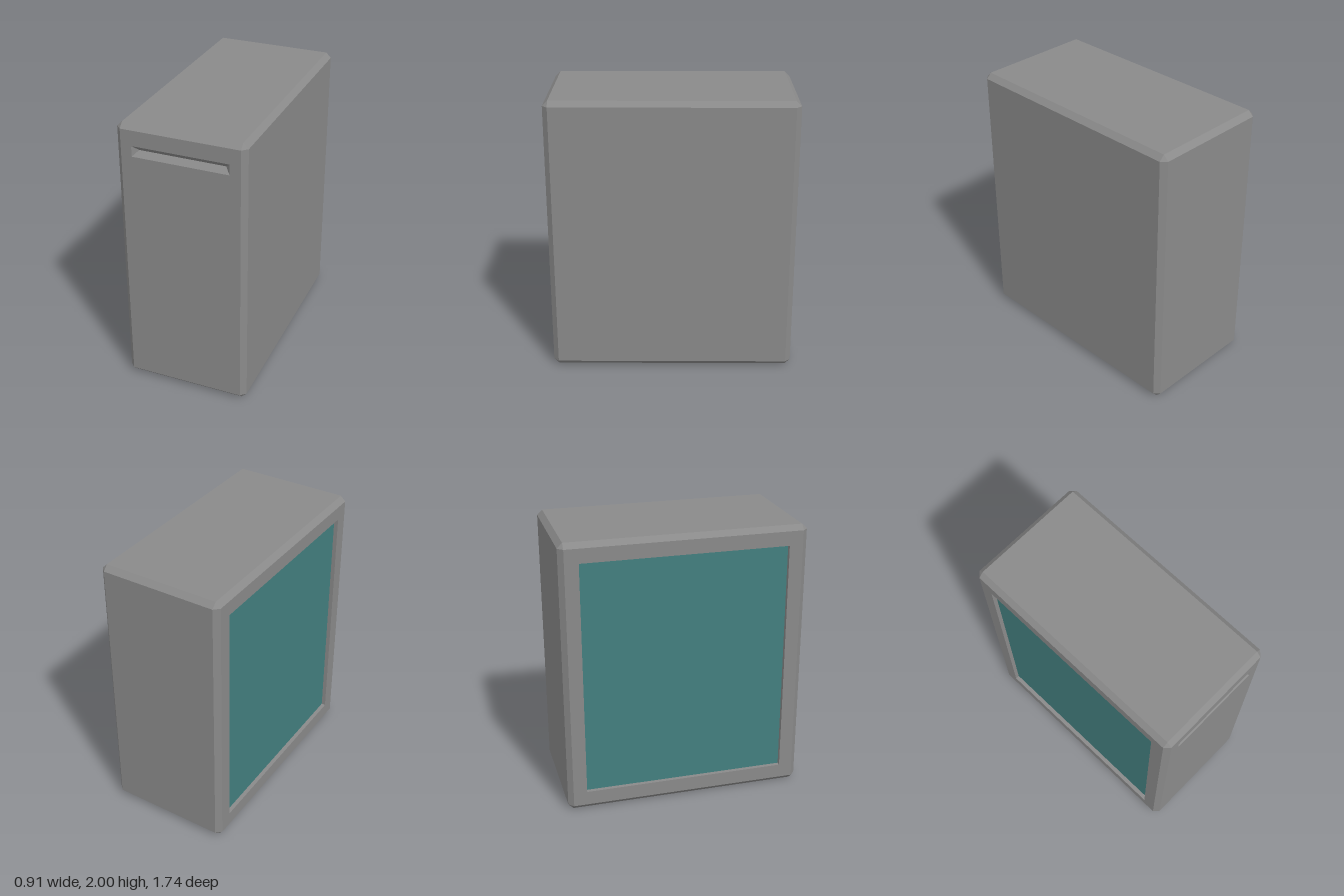
import * as THREE from 'three';

const W = 0.455, H = 1, D = 0.87, C = 0.037; // half sizes and bevel width

// Collects flat polygons (corner lists, counter-clockwise from outside) into one mesh
function mesh(name, polygons, material) {
  const pos = [];
  for (const p of polygons)
    for (let i = 1; i < p.length - 1; i++)
      for (const v of [p[0], p[i], p[i + 1]]) pos.push(...v);
  const geo = new THREE.BufferGeometry();
  geo.setAttribute('position', new THREE.Float32BufferAttribute(pos, 3));
  geo.computeVertexNormals();
  const m = new THREE.Mesh(geo, material);
  m.name = name;
  return m;
}

// Turns a polygon so that it faces away from the centre of the case
function outward(p) {
  const [a, b, c] = p.map(v => new THREE.Vector3(...v));
  const n = b.clone().sub(a).cross(c.clone().sub(a));
  return n.dot(a.setY(a.y - H)) < 0 ? p.reverse() : p;
}

// Four quads joining one rectangle to another
const ring = (a, b) => a.map((v, i) => {
  const j = (i + 1) % 4;
  return [v, a[j], b[j], b[i]];
});

// Rectangles seen from the front (+z) and from the window side (-x)
const frontRect = (x, y0, y1, z) => [[-x, y0, z], [x, y0, z], [x, y1, z], [-x, y1, z]];
const sideRect = (z, y0, y1, x) => [[x, y0, -z], [x, y0, z], [x, y1, z], [x, y1, -z]];

export function createModel() {
  const gray = new THREE.MeshStandardMaterial({ color: 0x8a8a8a });
  gray.name = 'case gray';
  const teal = new THREE.MeshStandardMaterial({ color: 0x437f7f });
  teal.name = 'window teal';
  const group = new THREE.Group();
  group.name = 'computerCase';

  const S = [-1, 1];
  const w = W - C, h = H - C, d = D - C;
  const panels = [], bevels = [], corners = [];

  // Plain panels: top, bottom, back and the closed side
  for (const s of S)
    panels.push(outward([[-w, H + s * H, -d], [w, H + s * H, -d], [w, H + s * H, d], [-w, H + s * H, d]]));
  panels.push(outward(frontRect(w, H - h, H + h, -D)));
  panels.push(outward(sideRect(d, H - h, H + h, W)));

  // Twelve bevelled edges and eight corner triangles
  for (const a of S) for (const b of S) {
    bevels.push(outward([[a * W, H + b * h, -d], [a * W, H + b * h, d], [a * w, H + b * H, d], [a * w, H + b * H, -d]]));
    bevels.push(outward([[a * W, H - h, b * d], [a * W, H + h, b * d], [a * w, H + h, b * D], [a * w, H - h, b * D]]));
    bevels.push(outward([[-w, H + a * H, b * d], [w, H + a * H, b * d], [w, H + a * h, b * D], [-w, H + a * h, b * D]]));
    for (const c of S)
      corners.push(outward([[a * W, H + b * h, c * d], [a * w, H + b * H, c * d], [a * w, H + b * h, c * D]]));
  }
  group.add(mesh('panels', panels, gray), mesh('bevels', bevels, gray), mesh('corners', corners, gray));

  // Front panel with a V-shaped drive slot
  const slot = frontRect(0.342, 1.777, 1.853, D);
  const ridge = frontRect(0.304, 1.815, 1.815, D - 0.038);
  group.add(mesh('frontPanel', ring(frontRect(w, H - h, H + h, D), slot), gray));
  group.add(mesh('driveSlot', ring(slot, ridge), gray));

  // Side frame, recess walls and window pane
  const opening = sideRect(0.735, 0.14, 1.86, -W);
  const pane = sideRect(0.735, 0.14, 1.86, -W + 0.03);
  group.add(mesh('windowFrame', ring(sideRect(d, H - h, H + h, -W), opening), gray));
  group.add(mesh('windowRecess', ring(opening, pane), gray));
  group.add(mesh('windowPane', [pane], teal));

  return group;
}
